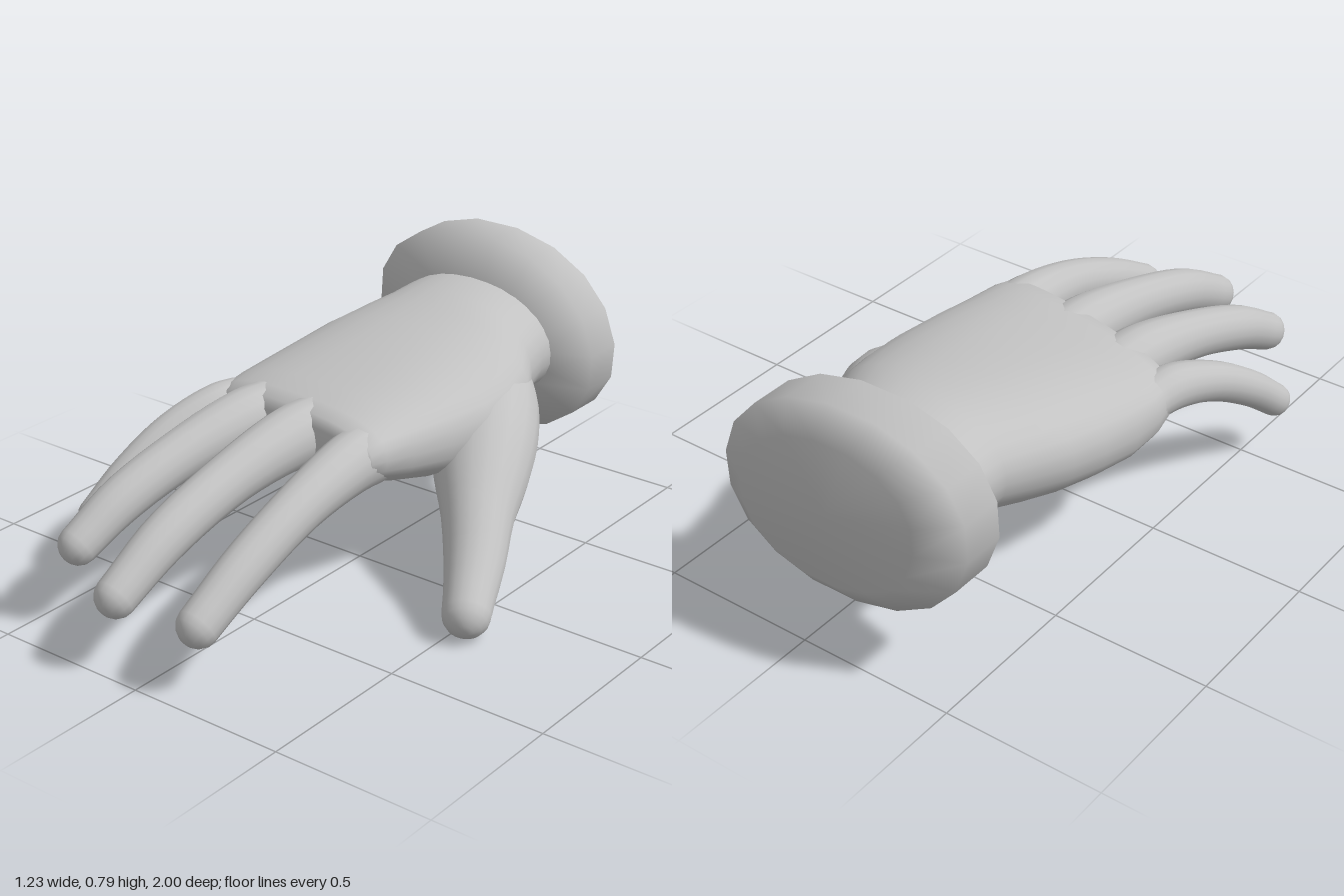
import * as THREE from 'three';

const skin = new THREE.MeshStandardMaterial({ color: 0xc2c2c2 });
skin.name = 'pale grey';

// Skin a list of rings (arrays of Vector3, all of one length), closing the start and/or the end
function skinRings(name, rings, closeStart, closeEnd) {
  const n = rings[0].length, pos = [], index = [];
  for (const ring of rings) for (const p of ring) pos.push(p.x, p.y, p.z);
  for (let i = 0; i < rings.length - 1; i++) {
    for (let j = 0; j < n; j++) {
      const a = i * n + j, b = i * n + (j + 1) % n;
      index.push(a, b, a + n, b, b + n, a + n);
    }
  }
  const close = (row, flip) => {
    const c = rings[row].reduce((s, p) => s.add(p), new THREE.Vector3()).divideScalar(n);
    const k = pos.length / 3;
    pos.push(c.x, c.y, c.z);
    for (let j = 0; j < n; j++) {
      const a = row * n + j, b = row * n + (j + 1) % n;
      index.push(k, flip ? b : a, flip ? a : b);
    }
  };
  if (closeStart) close(0, true);
  if (closeEnd) close(rings.length - 1, false);
  const geo = new THREE.BufferGeometry();
  geo.setAttribute('position', new THREE.Float32BufferAttribute(pos, 3));
  geo.setIndex(index);
  geo.computeVertexNormals();
  const mesh = new THREE.Mesh(geo, skin);
  mesh.name = name;
  return mesh;
}

// Rounded cross-section: z, left/right x, bottom/top y, squareness, x lean, y lean, z slant
function section([z, x0, x1, y0, y1, e = 2, lean = 0, roll = 0, slant = 0], sides) {
  const cx = (x0 + x1) / 2, cy = (y0 + y1) / 2;
  const ring = [];
  for (let j = 0; j < sides; j++) {
    const a = (j / sides) * Math.PI * 2;
    const power = (v) => Math.sign(v) * Math.pow(Math.abs(v), 2 / e);
    const dx = power(Math.cos(a)) * (x1 - x0) / 2;
    const dy = power(Math.sin(a)) * (y1 - y0) / 2;
    ring.push(new THREE.Vector3(cx + dx + lean * dy, cy + dy + roll * dx, z + slant * dx));
  }
  return ring;
}

// Tapered digit along a curve with a rounded tip; points are [x, y, z, radius]
function digit(name, points, flat = 1, sides = 16) {
  const curve = new THREE.CatmullRomCurve3(points.map((p) => new THREE.Vector3(p[0], p[1], p[2])));
  const radii = new THREE.SplineCurve(points.map((p, i) => new THREE.Vector2(i, p[3])));
  const up = new THREE.Vector3(0, 1, 0), rings = [], steps = 18;
  const addRing = (c, t, r) => {
    const u = new THREE.Vector3().crossVectors(up, t).normalize();
    const v = new THREE.Vector3().crossVectors(t, u);
    rings.push(Array.from({ length: sides }, (_, j) => {
      const a = (j / sides) * Math.PI * 2;
      return c.clone().addScaledVector(u, Math.cos(a) * r).addScaledVector(v, Math.sin(a) * r * flat);
    }));
  };
  for (let i = 0; i <= steps; i++) {
    const t = i / steps;
    addRing(curve.getPoint(t), curve.getTangent(t), radii.getPoint(t).y);
  }
  const end = curve.getPoint(1), dir = curve.getTangent(1), r = points[points.length - 1][3];
  for (const a of [0.4, 0.8, 1.15, 1.4]) {
    addRing(end.clone().addScaledVector(dir, Math.sin(a) * r * 0.95), dir, Math.cos(a) * r);
  }
  return skinRings(name, rings, false, true);
}

export function createModel() {
  const hand = new THREE.Group();
  hand.name = 'hand';

  // Bulging cuff behind the wrist
  hand.add(skinRings('cuff', [
    [-1.0, -0.40, 0.20, 0.25, 0.72, 2.1, -0.15],
    [-0.935, -0.53, 0.31, 0.165, 0.80, 2.1, -0.15],
    [-0.80, -0.53, 0.31, 0.165, 0.80, 2.1, -0.15],
    [-0.74, -0.395, 0.185, 0.305, 0.665, 2.1, -0.1],
  ].map((s) => section(s, 18)), true, false));

  // Wrist and palm, slanted at the knuckles
  hand.add(skinRings('palm', [
    [-0.755, -0.40, 0.19, 0.30, 0.67, 2.1, -0.1],
    [-0.70, -0.40, 0.19, 0.30, 0.67, 2.1, -0.1],
    [-0.60, -0.405, 0.215, 0.29, 0.667, 2.1, -0.08],
    [-0.50, -0.44, 0.275, 0.26, 0.65, 2.15, -0.06, -0.02],
    [-0.38, -0.475, 0.305, 0.238, 0.63, 2.2, -0.04, -0.02],
    [-0.25, -0.495, 0.31, 0.232, 0.608, 2.3, -0.02, 0],
    [-0.10, -0.51, 0.285, 0.248, 0.583, 2.5, 0, 0.03, 0.04],
    [0.03, -0.515, 0.255, 0.285, 0.562, 2.6, 0, 0.05, 0.1],
    [0.12, -0.505, 0.237, 0.32, 0.55, 2.6, 0, 0.06, 0.15],
    [0.17, -0.485, 0.225, 0.345, 0.535, 2.5, 0, 0.06, 0.17],
    [0.19, -0.45, 0.20, 0.38, 0.505, 2.4, 0, 0.06, 0.17],
  ].map((s) => section(s, 32)), false, true));

  // Four fingers, flared at the knuckles and curling down toward the tips
  hand.add(digit('littleFinger', [
    [-0.445, 0.425, 0.04, 0.066], [-0.46, 0.425, 0.13, 0.068], [-0.505, 0.383, 0.28, 0.059],
    [-0.545, 0.288, 0.44, 0.054], [-0.573, 0.19, 0.56, 0.049],
  ], 1.05));
  hand.add(digit('ringFinger', [
    [-0.292, 0.44, 0.09, 0.093], [-0.304, 0.443, 0.20, 0.089], [-0.336, 0.408, 0.42, 0.074],
    [-0.37, 0.333, 0.65, 0.068], [-0.39, 0.247, 0.81, 0.059],
  ], 1.05));
  hand.add(digit('middleFinger', [
    [-0.083, 0.45, 0.12, 0.096], [-0.09, 0.453, 0.23, 0.09], [-0.103, 0.415, 0.47, 0.075],
    [-0.115, 0.33, 0.74, 0.069], [-0.12, 0.225, 0.94, 0.06],
  ], 1.08));
  hand.add(digit('indexFinger', [
    [0.135, 0.44, 0.13, 0.09], [0.14, 0.44, 0.24, 0.085], [0.146, 0.398, 0.46, 0.072],
    [0.142, 0.303, 0.70, 0.067], [0.137, 0.2, 0.89, 0.061],
  ], 1.08));

  // Thumb with its broad fleshy base
  hand.add(digit('thumb', [
    [0.06, 0.43, -0.60, 0.12], [0.145, 0.39, -0.46, 0.16], [0.238, 0.335, -0.31, 0.163],
    [0.318, 0.28, -0.18, 0.14], [0.392, 0.225, -0.06, 0.108], [0.467, 0.15, 0.06, 0.09],
    [0.543, 0.074, 0.205, 0.072],
  ], 1, 18));

  return hand;
}
